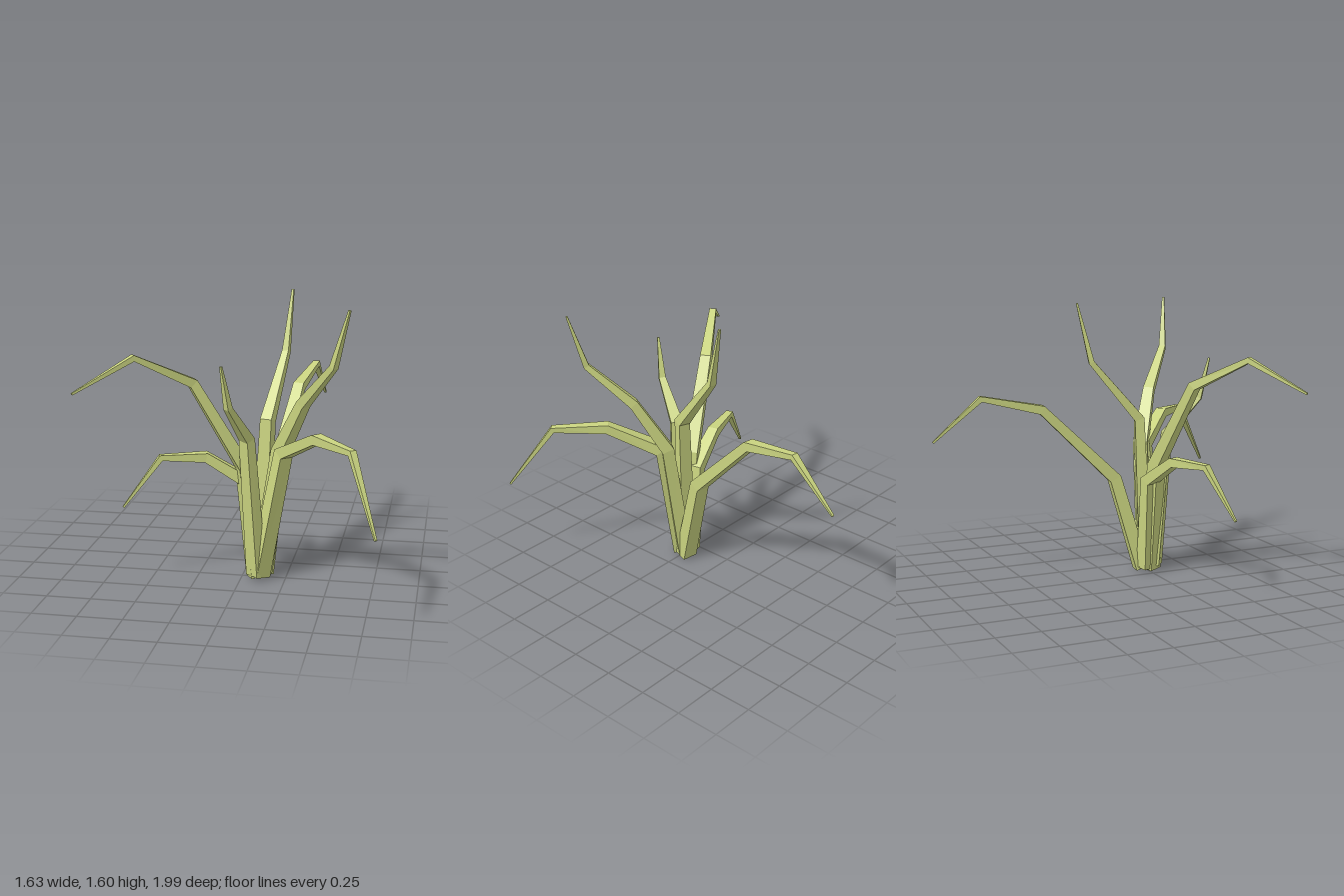
import * as THREE from 'three';

const UP = new THREE.Vector3(0, 1, 0);
const SIDES = 4;
const SECTION = [[0.5, 0.42], [-0.5, 0.42], [-0.5, -0.42], [0.5, -0.42]];

// Four-sided tapering blade swept along a bent centre line.
function bladeGeometry(path, widths, twist) {
  const pts = path.map((p) => new THREE.Vector3(...p));
  const last = pts.length - 1;
  const out = pts[last].clone().sub(pts[0]).setY(0).normalize();
  const side = UP.clone().cross(out);
  const pos = [];
  const index = [];

  pts.forEach((p, i) => {
    const before = p.clone().sub(pts[Math.max(i - 1, 0)]).normalize();
    const after = pts[Math.min(i + 1, last)].clone().sub(p).normalize();
    const tangent = before.add(after).normalize();
    const lat = side.clone().addScaledVector(tangent, -side.dot(tangent)).normalize();
    const top = tangent.clone().cross(lat);
    lat.applyAxisAngle(tangent, twist);
    top.applyAxisAngle(tangent, twist);
    for (const [a, b] of SECTION) {
      const v = p.clone().addScaledVector(lat, a * widths[i]).addScaledVector(top, b * widths[i]);
      pos.push(v.x, Math.max(v.y, 0), v.z);
    }
    if (i === last) return;
    for (let k = 0; k < SIDES; k++) {
      const a = i * SIDES + k;
      const b = i * SIDES + (k + 1) % SIDES;
      index.push(a, b, b + SIDES, a, b + SIDES, a + SIDES);
    }
  });

  // End caps
  const e = last * SIDES;
  index.push(0, 2, 1, 0, 3, 2, e, e + 1, e + 2, e, e + 2, e + 3);

  const geo = new THREE.BufferGeometry();
  geo.setAttribute('position', new THREE.Float32BufferAttribute(pos, 3));
  geo.setIndex(index);
  geo.computeVertexNormals();
  return geo;
}

const LONG = [0.095, 0.085, 0.064, 0.04, 0.013];
const SHORT = [0.09, 0.07, 0.04, 0.013];

// Centre line of each blade, from root to tip
const BLADES = [
  { name: 'tallRightBlade', twist: 0, path: [[0.08, 0.02, 0.27], [0.01, 0.66, 0.27], [-0.25, 1.15, 0.38], [-0.53, 1.315, 0.57], [-0.81, 1.15, 0.77]] },
  { name: 'lowRightBlade', twist: 0, path: [[0.07, 0.03, 0.24], [0.015, 0.57, 0.23], [-0.2, 0.71, 0.28], [-0.44, 0.715, 0.36], [-0.64, 0.44, 0.44]] },
  { name: 'shortFrontBlade', twist: -0.2, path: [[0.09, 0.04, 0.3], [0.045, 0.84, 0.355], [-0.025, 1.05, 0.53], [-0.053, 1.285, 0.58]] },
  { name: 'tallBackBlade', twist: 0, path: [[0.1, 0.02, 0.24], [0.14, 0.92, 0.22], [0.2, 1.26, -0.06], [0.225, 1.605, -0.14]] },
  { name: 'tallLeftBlade', twist: 0, path: [[0.11, 0.03, 0.25], [0.22, 0.76, 0.27], [0.36, 1.06, 0.39], [0.54, 1.3, 0.57], [0.622, 1.605, 0.615]] },
  { name: 'lowLeftBlade', twist: 0, path: [[0.105, 0.03, 0.29], [0.24, 0.755, 0.3], [0.45, 0.9, 0.52], [0.66, 0.895, 0.75], [0.807, 0.515, 0.99]] },
  { name: 'longBackBlade', twist: 0, path: [[0.12, 0.02, 0.225], [0.165, 0.57, 0.07], [0.235, 0.995, -0.36], [0.295, 1.07, -0.71], [0.322, 0.83, -0.99]] },
];

export function createModel() {
  const group = new THREE.Group();
  group.name = 'grassTuft';
  const green = new THREE.MeshStandardMaterial({ color: 0xcad480, flatShading: true });
  for (const { name, twist, path } of BLADES) {
    const mesh = new THREE.Mesh(bladeGeometry(path, path.length === 5 ? LONG : SHORT, twist), green);
    mesh.name = name;
    group.add(mesh);
  }
  return group;
}
